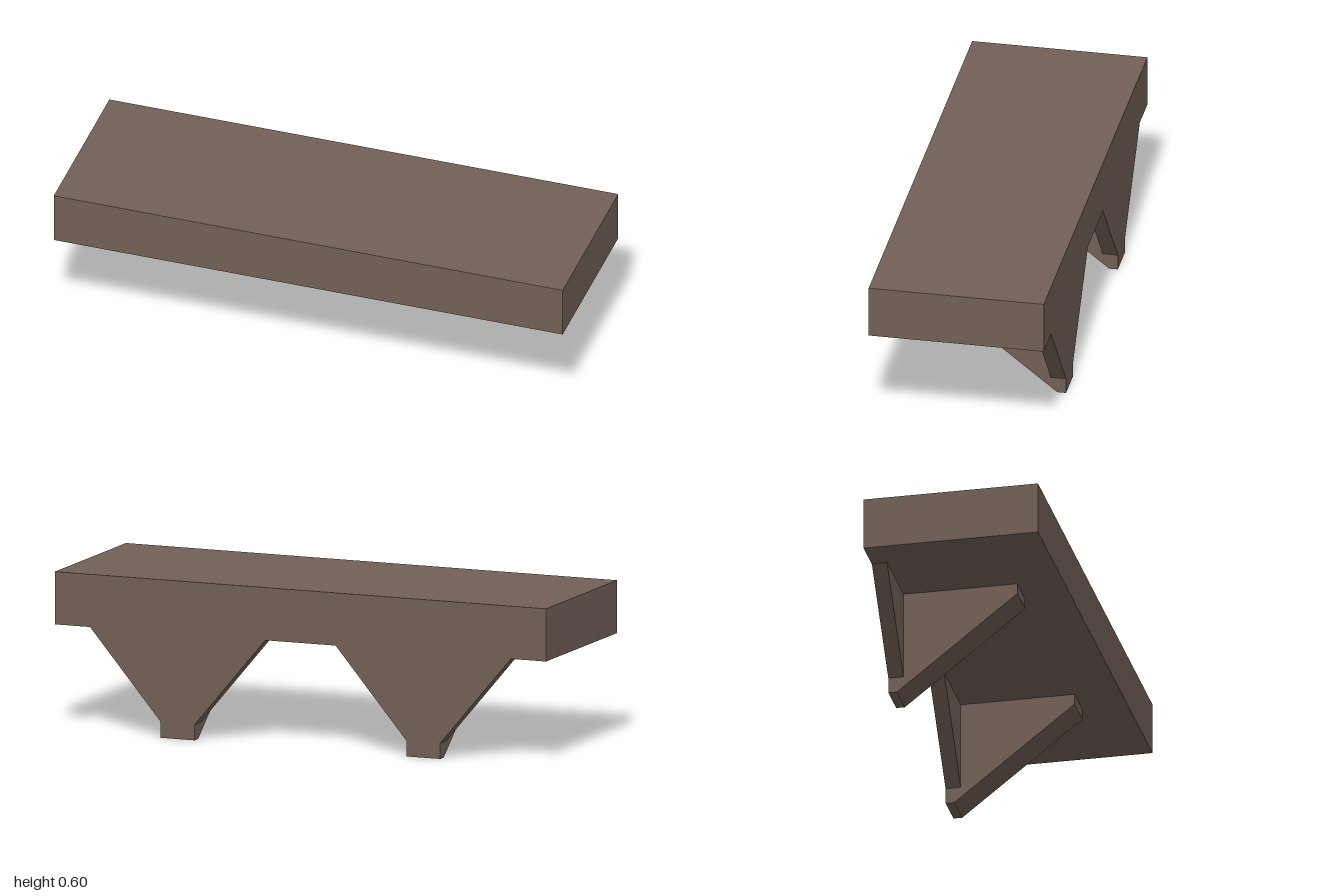
import * as THREE from 'three';

const BACK = -0.333;

// Extruded polygon with hard edges
function prism(points, depth) {
  const shape = new THREE.Shape(points.map(([x, y]) => new THREE.Vector2(x, y)));
  return new THREE.ExtrudeGeometry(shape, { depth, bevelEnabled: false });
}

export function createModel() {
  const wood = new THREE.MeshStandardMaterial({ color: 0x716056 });
  wood.name = 'brown wood';
  const group = new THREE.Group();
  group.name = 'wallShelf';

  const add = (parent, name, geometry) => {
    const mesh = new THREE.Mesh(geometry, wood);
    mesh.name = name;
    parent.add(mesh);
    return mesh;
  };

  // Thick shelf board
  add(group, 'shelfBoard', new THREE.BoxGeometry(2, 0.2, 0.667)).position.y = 0.5;

  // Side profile of the bracket strut, as z and y
  const strutProfile = [[BACK, 0], [-0.3, 0], [0.16, 0.36], [0.16, 0.4], [BACK, 0.4]];

  for (const side of [-1, 1]) {
    const bracket = new THREE.Group();
    bracket.name = side > 0 ? 'leftBracket' : 'rightBracket';
    bracket.position.x = side * 0.5;
    group.add(bracket);

    // Sloping strut under the board
    const strut = prism(strutProfile, 0.138);
    strut.rotateY(-Math.PI / 2);
    strut.translate(0.069, 0, 0);
    add(bracket, 'strut', strut);

    // Triangular wings against the wall
    for (const s of [-1, 1]) {
      const wing = prism([[s * 0.069, 0.06], [s * 0.357, 0.4], [s * 0.069, 0.4]], 0.058);
      wing.translate(0, 0, BACK);
      add(bracket, s > 0 ? 'leftWing' : 'rightWing', wing);
    }
  }
  return group;
}
